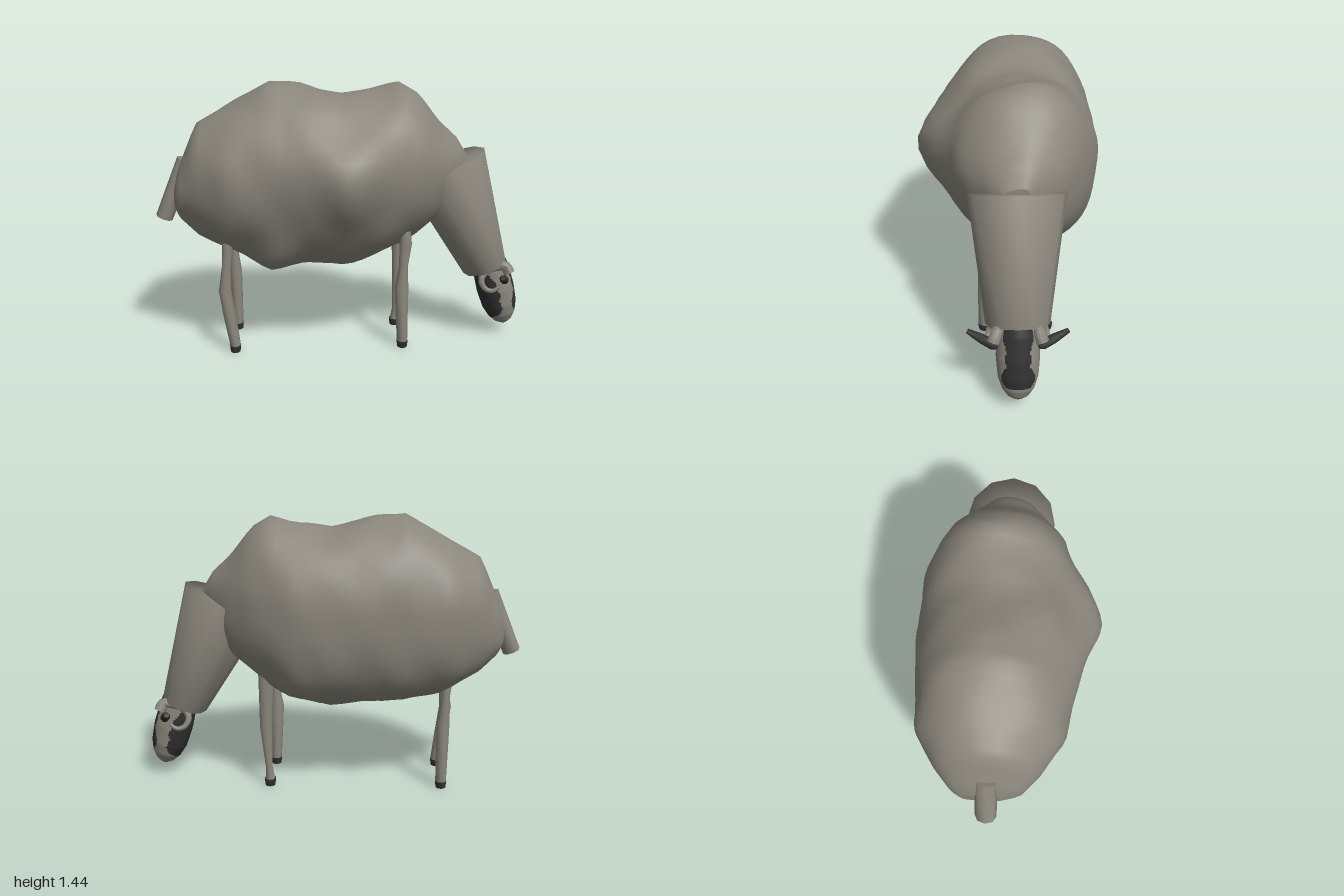
import * as THREE from 'three';

const wool = new THREE.MeshStandardMaterial({ color: 0x8a867c });
wool.name = 'greyWool';
const dark = new THREE.MeshStandardMaterial({ color: 0x303030 });
dark.name = 'charcoal';

const MID = -0.04; // z of the animal's centre line
const V = (x, y, z) => new THREE.Vector3(x, y, z);

// Skin over rings stacked along local +x. Smooth ends share the ring's vertices.
// isDark(ring, angle), if given, sorts faces into two material groups.
function loft(rings, smoothEnds = false, isDark = null) {
  const n = rings[0].length, pos = [], lists = [[], []];
  const add = (p) => pos.push(p.x, p.y, p.z) / 3 - 1;
  rings.forEach((r) => r.forEach(add));
  for (let i = 0; i < rings.length - 1; i++) {
    for (let j = 0; j < n; j++) {
      const a = i * n + j, b = i * n + (j + 1) % n;
      const list = lists[isDark && isDark(i, (j + 0.5) / n * Math.PI * 2) ? 1 : 0];
      list.push(a, a + n, b + n, a, b + n, b);
    }
  }
  [0, rings.length - 1].forEach((i) => {
    const ring = rings[i];
    const c = add(ring.reduce((s, p) => s.add(p), V(0, 0, 0)).divideScalar(n));
    const ids = ring.map((p, j) => smoothEnds ? i * n + j : add(p));
    ids.forEach((id, j) => {
      const next = ids[(j + 1) % n];
      lists[0].push(...(i === 0 ? [c, id, next] : [c, next, id]));
    });
  });
  const g = new THREE.BufferGeometry();
  g.setAttribute('position', new THREE.Float32BufferAttribute(pos, 3));
  g.setIndex([...lists[0], ...lists[1]]);
  g.addGroup(0, lists[0].length, 0);
  g.addGroup(lists[0].length, lists[1].length, 1);
  g.computeVertexNormals();
  return g;
}

// Elliptical ring from [x, centreY, centreZ, radiusY, radiusZ]
const ellipse = ([x, cy, cz, ry, rz], n) => Array.from({ length: n }, (_, j) => {
  const a = j / n * Math.PI * 2;
  return V(x, cy + ry * Math.sin(a), cz + rz * Math.cos(a));
});

// Row of a section table at x, linearly interpolated
function sample(table, x) {
  let i = 0;
  while (i < table.length - 2 && x > table[i + 1][0]) i++;
  const t = (x - table[i][0]) / (table[i + 1][0] - table[i][0]);
  return table[i].map((v, k) => v + (table[i + 1][k] - v) * t);
}

function mesh(name, geometry, material, parent) {
  const m = new THREE.Mesh(geometry, material);
  m.name = name;
  parent.add(m);
  return m;
}

// Tapered limb from point a to b; stops are [fraction, radiusY, radiusZ]
function limb(name, a, b, stops, n, material, parent, smooth = false) {
  const d = b.clone().sub(a), len = d.length();
  const g = loft(stops.map(([t, ry, rz]) => ellipse([t * len, 0, 0, ry, rz], n)), smooth);
  const m = mesh(name, g, material, parent);
  m.position.copy(a);
  m.quaternion.setFromUnitVectors(V(1, 0, 0), d.normalize());
}

// Lumpy fleece: [x, bottom, top, zMin, zMax]
function fleece() {
  const table = [
    [-0.89, 0.76, 0.9, -0.18, 0.03], [-0.865, 0.71, 1.0, -0.23, 0.12],
    [-0.77, 0.62, 1.22, -0.32, 0.21], [-0.6, 0.53, 1.32, -0.43, 0.32],
    [-0.38, 0.46, 1.44, -0.445, 0.345], [-0.2, 0.46, 1.425, -0.46, 0.36],
    [0.02, 0.44, 1.375, -0.47, 0.365], [0.2, 0.48, 1.4, -0.46, 0.325],
    [0.32, 0.54, 1.43, -0.41, 0.285], [0.42, 0.61, 1.375, -0.36, 0.26],
    [0.54, 0.71, 1.22, -0.27, 0.18], [0.63, 0.84, 1.14, -0.17, 0.1],
    [0.68, 0.97, 1.06, -0.1, 0.03],
  ];
  const bump = (x, x0, w, a, a0, v) => Math.exp(-(((x - x0) / w) ** 2) - ((1 - Math.cos(a - a0)) * 2) / (v * v));
  const rings = [], count = 44, n = 48;
  for (let i = 0; i <= count; i++) {
    const x = -0.105 - 0.785 * Math.cos(i / count * Math.PI);
    const [, lo, hi, z0, z1] = sample(table, x);
    const cy = lo + (hi - lo) * 0.53, cz = (z0 + z1) / 2 - 0.03;
    const fade = Math.sin(i / count * Math.PI);
    rings.push(Array.from({ length: n }, (_, j) => {
      const a = j / n * Math.PI * 2, c = Math.cos(a), s = Math.sin(a);
      // the right underside is fuller than the rest
      const e = 2 / (c < 0 && s < 0 ? 2.4 : 2.05);
      const lump = 1 + fade * (0.008 * Math.sin(9 * x + 3 * a) + 0.009 * Math.sin(15 * x - 5 * a + 1)
        + 0.009 * Math.sin(23 * x + 7 * a + 2))
        + 0.24 * bump(x, 0.02, 0.25, a, 0.12, 0.4) // pointed left flank
        + 0.05 * bump(x, -0.08, 0.2, a, 1.0, 0.3) // ridge beside the spine
        + 0.12 * bump(x, -0.38, 0.12, a, -1.05, 0.3); // sagging belly
      const dy = Math.pow(Math.abs(s), e) * (s > 0 ? hi - cy : lo - cy);
      const dz = Math.pow(Math.abs(c), e) * (c > 0 ? z1 - cz : z0 - cz);
      return V(x, cy + dy * lump, cz + dz * lump);
    }));
  }
  return loft(rings, true);
}

function head(parent) {
  const table = [
    [0, 0, 0, 0.085, 0.085], [0.08, 0, 0, 0.1, 0.1], [0.2, 0, 0, 0.105, 0.106],
    [0.3, 0, 0, 0.097, 0.098], [0.36, 0, 0, 0.078, 0.08], [0.4, 0, 0, 0.05, 0.054],
    [0.42, 0, 0, 0.022, 0.026],
  ];
  const count = 64, n = 80, at = (i) => i / count * 0.42;
  const rings = Array.from({ length: count + 1 }, (_, i) => ellipse(sample(table, at(i)), n));
  // edges of the dark blaze and dark jaw: [distance, blaze limit, jaw limit] as sine of the angle
  const edges = [[0, 0.7, -0.5], [0.1, 0.74, -0.3], [0.16, 0.84, -0.05], [0.22, 0.84, 0],
    [0.25, 0.68, -0.15], [0.3, 0.6, 0], [0.335, 0.7, -0.3], [0.37, 1.5, -1.1], [0.42, 1.5, -1.1]];
  const isDark = (i, a) => {
    const [d, blaze, jaw] = sample(edges, at(i)), s = Math.sin(a), wave = 0.03 * Math.sin(at(i) * 60);
    return (s > blaze + wave && d < 0.335) || s < jaw + wave;
  };
  const m = mesh('head', loft(rings, true, isDark), [wool, dark], parent);
  m.position.set(0.83, 0.47, MID);
  m.rotation.z = Math.atan2(-0.41, 0.115);

  for (const s of [1, -1]) {
    const side = s > 0 ? 'left' : 'right';
    const p = (x, y, z) => V(x, y, MID + s * z);
    limb(side + 'Ear', p(0.91, 0.345, 0.095), p(0.862, 0.405, 0.24),
      [[0, 0.012, 0.012], [0.15, 0.025, 0.024], [0.5, 0.024, 0.024], [1, 0.012, 0.014]], 8, dark, parent);
    // curled horn
    const curl = new THREE.CatmullRomCurve3([
      p(0.93, 0.39, 0.115), p(0.91, 0.43, 0.1), p(0.86, 0.425, 0.095), p(0.8, 0.405, 0.11),
      p(0.77, 0.36, 0.13), p(0.79, 0.315, 0.145), p(0.83, 0.305, 0.155), p(0.865, 0.33, 0.16)]);
    const steps = 24, sides = 8;
    const g = new THREE.TubeGeometry(curl, steps, 0.031, sides);
    const q = g.attributes.position, v = V(0, 0, 0);
    for (let i = 0; i < q.count; i++) {
      const t = Math.floor(i / (sides + 1)) / steps;
      v.fromBufferAttribute(q, i).lerp(curl.getPointAt(t), 0.7 * t);
      q.setXYZ(i, v.x, v.y, v.z);
    }
    g.computeVertexNormals();
    mesh(side + 'Horn', g, wool, parent);
  }
}

// Leg sections: [height, xOffset, radiusX, radiusZ]
const hindBent = [[0.035, 0, 0.029, 0.036], [0.2, -0.025, 0.034, 0.036], [0.35, -0.046, 0.034, 0.034],
  [0.48, -0.034, 0.026, 0.024], [0.6, -0.025, 0.028, 0.03], [0.68, -0.02, 0.022, 0.022]];
const hindStraight = [[0.035, 0, 0.029, 0.036], [0.2, -0.002, 0.032, 0.036], [0.35, -0.004, 0.034, 0.034],
  [0.49, -0.012, 0.022, 0.024], [0.6, -0.018, 0.03, 0.03], [0.68, -0.015, 0.022, 0.022]];
const foreLeft = [[0.035, 0, 0.029, 0.036], [0.2, -0.005, 0.034, 0.036], [0.34, -0.008, 0.038, 0.034],
  [0.46, 0, 0.024, 0.022], [0.59, 0.01, 0.034, 0.03], [0.66, 0.012, 0.024, 0.022]];
const foreRight = [[0.035, 0, 0.025, 0.03], [0.1, 0.006, 0.018, 0.02], [0.33, 0.018, 0.034, 0.026],
  [0.5, 0.016, 0.038, 0.03], [0.62, 0.014, 0.042, 0.038], [0.66, 0.014, 0.032, 0.028]];

function leg(name, x, z, sections, parent) {
  const g = new THREE.Group();
  g.name = name;
  g.position.set(x, 0, z);
  const rings = sections.map(([y, dx, rx, rz]) => ellipse([y, -dx, 0, rx, rz], 10));
  mesh('shank', loft(rings), wool, g).rotation.z = Math.PI / 2;
  const hoof = [ellipse([0, 0, 0, 0.027, 0.034], 10), ellipse([0.036, 0, 0, 0.031, 0.038], 10)];
  mesh('hoof', loft(hoof), dark, g).rotation.z = Math.PI / 2;
  parent.add(g);
}

export function createModel() {
  const sheep = new THREE.Group();
  sheep.name = 'sheep';
  mesh('fleece', fleece(), wool, sheep);
  limb('neck', V(0.57, 0.985, MID), V(0.815, 0.41, MID), [[0, 0.235, 0.237], [1, 0.126, 0.155]], 12, wool, sheep, true);
  limb('tail', V(-0.825, 1.03, MID - 0.01), V(-0.956, 0.716, MID - 0.01), [[0, 0.05, 0.058], [1, 0.046, 0.055]], 8, wool, sheep);
  head(sheep);
  leg('frontLeftLeg', 0.33, MID + 0.165, foreLeft, sheep);
  leg('frontRightLeg', 0.33, MID - 0.165, foreRight, sheep);
  leg('hindLeftLeg', -0.585, MID + 0.165, hindBent, sheep);
  leg('hindRightLeg', -0.585, MID - 0.165, hindStraight, sheep);
  return sheep;
}
